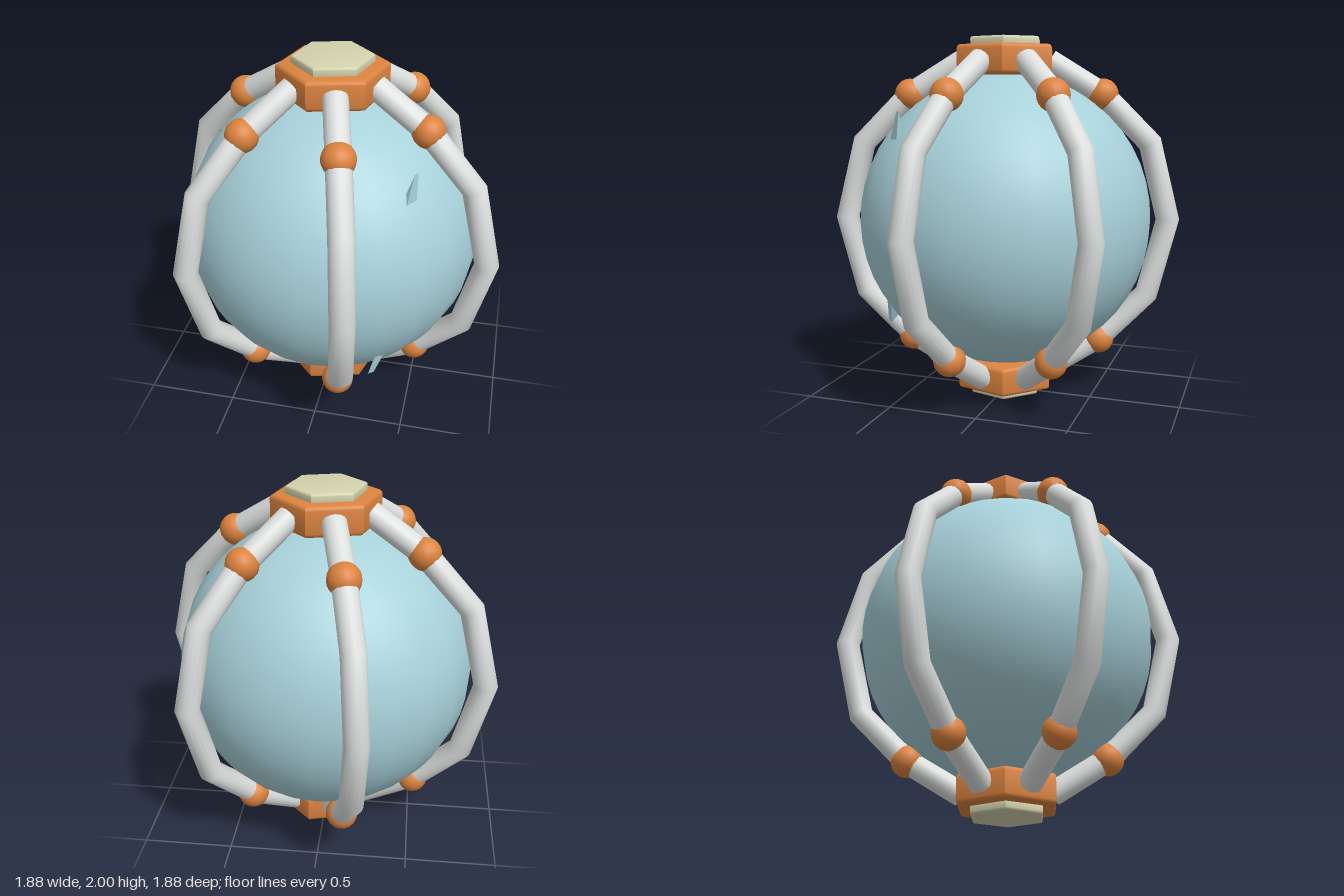
import * as THREE from 'three';
import { ConvexGeometry } from 'three/addons/geometries/ConvexGeometry.js';
import { toCreasedNormals } from 'three/addons/utils/BufferGeometryUtils.js';

const mat = (name, color) => {
  const m = new THREE.MeshStandardMaterial({ color });
  m.name = name;
  return m;
};

// Straight-segment path whose corners land exactly on the sample points
class Polyline extends THREE.Curve {
  constructor(points) { super(); this.points = points; }
  getUtoTmapping(u) { return u; }
  getPoint(t, target = new THREE.Vector3()) {
    const n = this.points.length - 1;
    const i = Math.min(Math.floor(t * n + 1e-9), n - 1);
    return target.lerpVectors(this.points[i], this.points[i + 1], t * n - i);
  }
}

// Bevelled hexagonal slab centred on its own origin, axis along y
function hexSlab(radius, height, bevel) {
  const r = radius - bevel / Math.cos(Math.PI / 6);
  const corners = [];
  for (let i = 0; i < 6; i++) {
    const a = THREE.MathUtils.degToRad(15 + 60 * i);
    corners.push(new THREE.Vector2(r * Math.cos(a), r * Math.sin(a)));
  }
  const depth = height - 2 * bevel;
  const g = new THREE.ExtrudeGeometry(new THREE.Shape(corners), {
    depth, bevelEnabled: true, bevelThickness: bevel, bevelSize: bevel, bevelSegments: 3,
  });
  g.translate(0, 0, -depth / 2).rotateX(-Math.PI / 2);
  return toCreasedNormals(g, 0.6);
}

export function createModel() {
  const model = new THREE.Group();
  const blue = mat('paleBlue', 0xa8d1da);
  const white = mat('offWhite', 0xdcdfdd);
  const orange = mat('orange', 0xdc833f);
  const cream = mat('cream', 0xd4d3ae);

  const add = (parent, name, geometry, material, y = 0) => {
    const m = new THREE.Mesh(geometry, material);
    m.name = name;
    m.position.y = y;
    parent.add(m);
    return m;
  };

  // Central globe
  add(model, 'globe', new THREE.SphereGeometry(0.81, 24, 24), blue, 1);

  // Small shards breaking through the globe
  const shards = {
    upperShard: [[0.465, 1.46, 0.48], [0.505, 1.46, 0.425], [0.44, 1.46, 0.45],
      [0.48, 1.46, 0.395], [0.505, 1.605, 0.41], [0.49, 1.605, 0.43]],
    lowerShard: [[0.32, 0.44, 0.585], [0.345, 0.43, 0.555], [0.355, 0.565, 0.575],
      [0.4, 0.565, 0.53], [0.34, 0.5, 0.5]],
  };
  for (const [name, pts] of Object.entries(shards)) {
    add(model, name, new ConvexGeometry(pts.map((p) => new THREE.Vector3(...p))), blue);
  }

  // Rib profile: radius outwards, height from the middle; mirrored top to bottom
  const half = [[0.24, 0.87], [0.533, 0.69], [0.798, 0.425]];
  const path = [
    ...half.map(([r, y]) => new THREE.Vector3(r, y, 0)),
    new THREE.Vector3(0.905, 0, 0),
    ...half.slice().reverse().map(([r, y]) => new THREE.Vector3(r, -y, 0)),
  ];
  const curve = new Polyline(path);
  const tubeGeo = new THREE.TubeGeometry(curve, 6, 0.065, 16);
  const jointGeo = new THREE.SphereGeometry(0.087, 16, 12);
  const capGeo = new THREE.CircleGeometry(0.065, 16);

  // Six ribs, each with two ball joints
  for (let i = 0; i < 6; i++) {
    const rib = new THREE.Group();
    rib.name = 'rib' + (i + 1);
    rib.position.y = 1;
    rib.rotation.y = -THREE.MathUtils.degToRad(15 + 60 * i);
    add(rib, 'ribTube', tubeGeo, white);
    for (const s of [1, -1]) {
      const joint = add(rib, 'ribJoint', jointGeo, orange);
      joint.position.set(0.533, 0.69 * s, 0);
      // End cap facing along the rib's last segment
      const cap = add(rib, 'ribEndCap', capGeo, white);
      cap.position.set(0.24, 0.87 * s, 0);
      cap.quaternion.setFromUnitVectors(
        new THREE.Vector3(0, 0, 1), new THREE.Vector3(-0.293, 0.18 * s, 0).normalize());
    }
    model.add(rib);
  }

  // Hexagonal hubs and end plates, top and bottom
  const hubGeo = hexSlab(0.293, 0.16, 0.022);
  const plateGeo = hexSlab(0.213, 0.06, 0.014);
  for (const [side, s] of [['top', 1], ['bottom', -1]]) {
    add(model, side + 'Hub', hubGeo, orange, 1 + 0.877 * s);
    add(model, side + 'Plate', plateGeo, cream, 1 + 0.97 * s);
  }
  return model;
}
